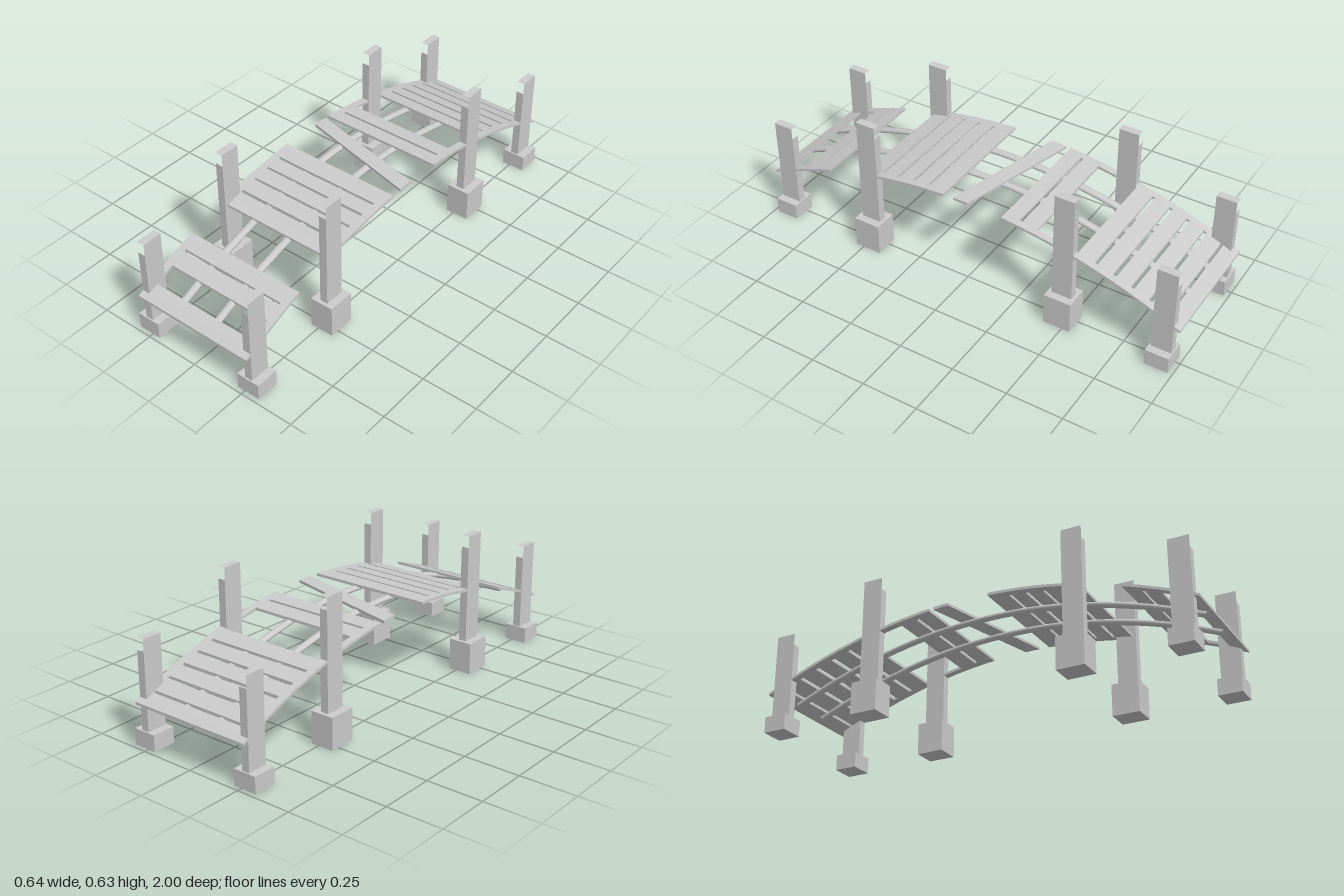
import * as THREE from 'three';

const material = new THREE.MeshStandardMaterial({ color: 0xcccccc, flatShading: true });
const smooth = new THREE.MeshStandardMaterial({ color: 0xcccccc });

// Height of the walking surface along the bridge
const deckY = (z) => 0.431 - 0.228 * z * z;
const THICKNESS = 0.012;

// Board lying on the arch between z0 and z1; skew slides its +x end along z
function board(name, x, width, z0, z1, segments, skew = 0) {
  const g = new THREE.BoxGeometry(width, THICKNESS, z1 - z0, 1, 1, segments);
  const p = g.attributes.position;
  for (let i = 0; i < p.count; i++) {
    const z = p.getZ(i) + (z0 + z1) / 2 + (p.getX(i) / width) * skew;
    p.setXYZ(i, p.getX(i) + x, p.getY(i) - THICKNESS / 2 + deckY(z), z);
  }
  g.computeVertexNormals();
  const mesh = new THREE.Mesh(g, material);
  mesh.name = name;
  return mesh;
}

// Post whose narrow end faces stop short of the cap, leaving a slot at the top
function post(bottom, top) {
  const height = top - bottom;
  const g = new THREE.BoxGeometry(0.036, height, 0.091);
  const p = g.attributes.position;
  for (let i = 16; i < 24; i++) {
    if (p.getY(i) > 0) p.setY(i, height / 2 - 0.053);
  }
  g.translate(0, (bottom + top) / 2, 0);
  const mesh = new THREE.Mesh(g, material);
  mesh.name = 'post';
  return mesh;
}

function footing(width, height, depth) {
  const g = new THREE.BoxGeometry(width, height, depth).translate(0, height / 2, 0);
  const mesh = new THREE.Mesh(g, material);
  mesh.name = 'footing';
  return mesh;
}

// Slightly flattened log following the arch under the planks
function beam(x) {
  const flatten = 0.68;
  const points = [];
  for (let i = 0; i <= 16; i++) {
    const z = -0.965 + (1.93 * i) / 16;
    points.push(new THREE.Vector3(0, (deckY(z) - 0.02) / flatten, z));
  }
  const curve = new THREE.CatmullRomCurve3(points);
  const group = new THREE.Group();
  group.name = 'beam';
  const log = new THREE.Mesh(new THREE.TubeGeometry(curve, 40, 0.0175, 12), smooth);
  log.name = 'beamLog';
  group.add(log);
  // End caps
  for (const t of [0, 1]) {
    const cap = new THREE.Mesh(new THREE.CircleGeometry(0.0175, 12), material);
    cap.name = 'beamEnd';
    cap.position.copy(curve.getPointAt(t));
    const out = curve.getTangentAt(t).multiplyScalar(t ? 1 : -1);
    cap.quaternion.setFromUnitVectors(new THREE.Vector3(0, 0, 1), out);
    group.add(cap);
  }
  group.scale.y = flatten;
  group.position.x = x;
  return group;
}

export function createModel() {
  const model = new THREE.Group();
  model.name = 'footbridge';

  // Planks, with gaps where some are missing
  const planks = [
    [-0.999, -0.937], [-0.925, -0.858], [-0.844, -0.778], [-0.763, -0.698],
    [-0.682, -0.614], [-0.6, -0.526], [-0.34, -0.267], [-0.254, -0.187],
    [0.092, 0.176], [0.188, 0.252], [0.265, 0.331], [0.343, 0.412], [0.425, 0.505],
    [0.686, 0.757], [0.768, 0.838], [0.928, 0.999],
  ];
  for (const [z0, z1] of planks) model.add(board('plank', 0, 0.506, z0, z1, 2));

  // Loose plank lying askew
  model.add(board('loosePlank', 0, 0.57, -0.096, 0.03 - 0.056, 2, 0.14));

  // Edge strips tying the planks together on both sides
  const strips = [[-0.999, -0.187, 16], [0.092, 0.505, 8], [0.686, 0.999, 6]];
  for (const side of [-1, 1]) {
    for (const [z0, z1, n] of strips) {
      model.add(board('edgeStrip', side * 0.269, 0.033, z0, z1, n));
    }
  }

  model.add(beam(-0.11), beam(0.07));

  // Posts on footings: tall pairs near the middle, short pairs at the ends
  const supports = [
    { z: 0.475, top: 0.63, base: [0.107, 0.143, 0.123] },
    { z: 0.927, top: 0.465, base: [0.107, 0.072, 0.104] },
  ];
  for (const { z, top, base } of supports) {
    for (const sx of [-1, 1]) {
      for (const sz of [-1, 1]) {
        const support = new THREE.Group();
        support.name = 'support';
        support.add(post(base[1], top), footing(...base));
        support.position.set(sx * 0.268, 0, sz * z);
        model.add(support);
      }
    }
  }
  return model;
}
